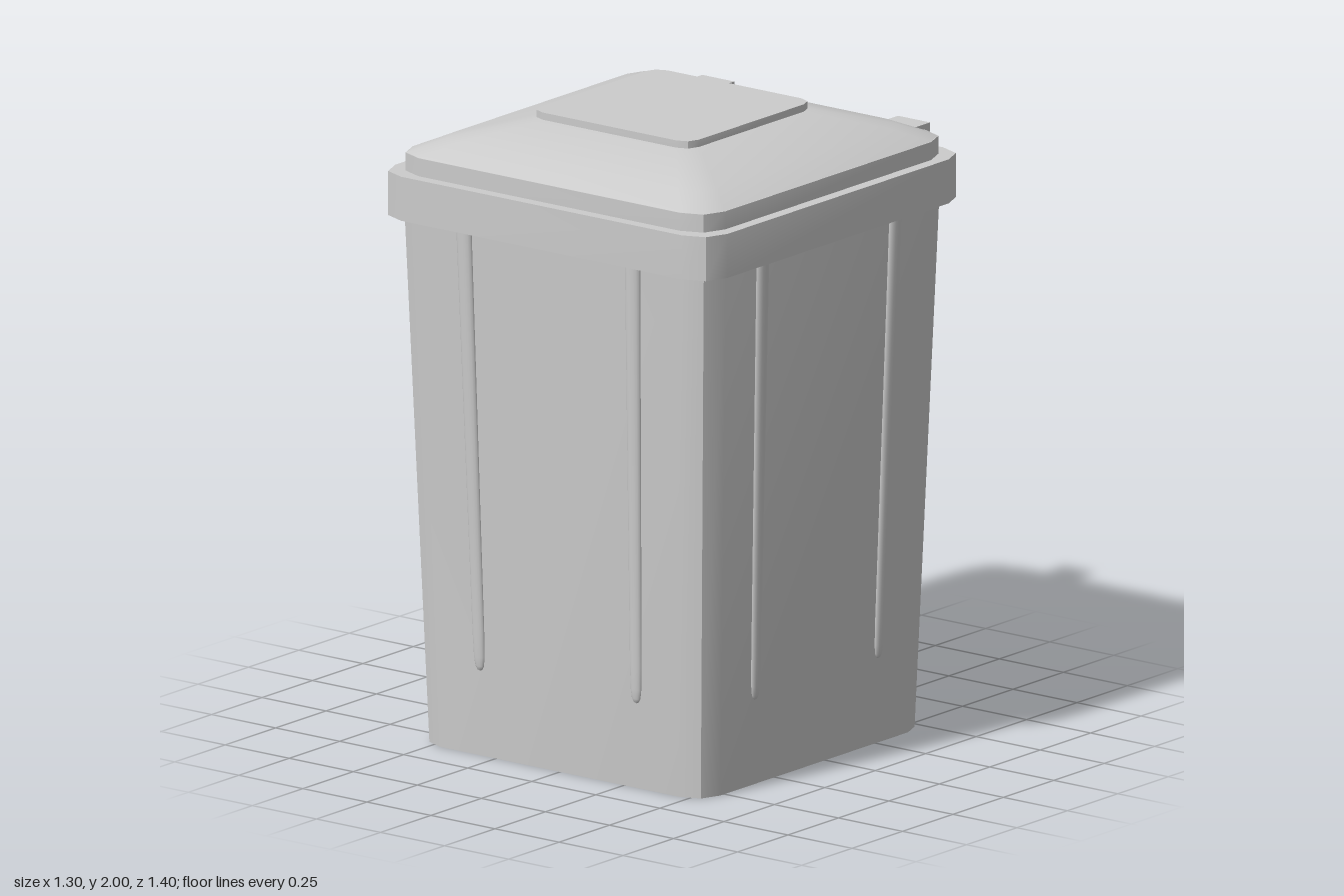
import * as THREE from 'three';
import { toCreasedNormals } from 'three/addons/utils/BufferGeometryUtils.js';

const MAT = new THREE.MeshStandardMaterial({ color: 0xcccccc });
const CENTRE_Z = 0.055;

// Closed solid through square sections with bevelled corners: [y, half width, corner size]
function loft(sections, crease) {
  const pos = [], idx = [], n = 12;
  for (const [y, h, r] of sections) {
    for (let k = 0; k < 4; k++) {
      for (let [x, z] of [[h, h - r], [h - 0.28 * r, h - 0.28 * r], [h - r, h]]) {
        for (let t = 0; t < k; t++) [x, z] = [-z, x];
        pos.push(x, y, z);
      }
    }
  }
  const last = sections.length - 1;
  for (let s = 0; s < last; s++) {
    for (let i = 0; i < n; i++) {
      const a = s * n + i, b = s * n + (i + 1) % n;
      idx.push(a, a + n, b, b, a + n, b + n);
    }
  }
  const bottom = pos.length / 3, top = bottom + 1;
  pos.push(0, sections[0][0], 0, 0, sections[last][0], 0);
  for (let i = 0; i < n; i++) {
    const j = (i + 1) % n;
    idx.push(bottom, i, j, top, last * n + j, last * n + i);
  }
  const g = new THREE.BufferGeometry();
  g.setAttribute('position', new THREE.Float32BufferAttribute(pos, 3));
  g.setIndex(idx);
  return toCreasedNormals(g, crease);
}

function add(parent, name, geometry) {
  const mesh = new THREE.Mesh(geometry, MAT);
  mesh.name = name;
  parent.add(mesh);
  return mesh;
}

// Tapered rib with a rounded lower end, flattened against the wall
function ribGeometry() {
  const profile = [[0, 0], [0.009, 0.004], [0.016, 0.016], [0.02, 0.045], [0.022, 0.12], [0.029, 1.42]];
  const g = new THREE.LatheGeometry(profile.map(([x, y]) => new THREE.Vector2(x, y)), 16);
  return g.scale(1, 1, 0.55);
}

// Bent strip, drawn in z (outwards) and y, then given its width along x
function clipGeometry(width) {
  const outer = [[0.65, 1.85], [0.672, 1.832], [0.692, 1.808], [0.698, 1.788], [0.69, 1.765], [0.665, 1.742], [0.585, 1.708]];
  const inner = [[0.585, 1.721], [0.658, 1.752], [0.679, 1.771], [0.685, 1.788], [0.68, 1.803], [0.662, 1.823], [0.64, 1.842]];
  const shape = new THREE.Shape([...outer, ...inner].map(([x, y]) => new THREE.Vector2(x, y)));
  const g = new THREE.ExtrudeGeometry(shape, { depth: width, bevelEnabled: false });
  g.translate(0, 0, -width / 2).rotateY(Math.PI / 2);
  return toCreasedNormals(g, 0.8);
}

export function createModel() {
  const model = new THREE.Group();
  model.name = 'wasteBin';

  const bin = new THREE.Group();
  bin.name = 'bin';
  bin.position.z = CENTRE_Z;
  model.add(bin);

  // Tapered container, rim and lid
  add(bin, 'body', loft([[0, 0.555, 0.09], [1.69, 0.612, 0.1]], 0.55));
  add(bin, 'rim', loft([[1.68, 0.648, 0.1], [1.82, 0.648, 0.1]], 0.55));
  add(bin, 'lidEdge', loft([[1.81, 0.61, 0.1], [1.877, 0.61, 0.1]], 0.55));
  add(bin, 'lidDome', loft([[1.876, 0.61, 0.1], [1.92, 0.515, 0.085], [1.977, 0.31, 0.05]], 0.85));
  add(bin, 'lidPanel', loft([[1.97, 0.31, 0.05], [2, 0.31, 0.05]], 0.55));

  // Two ribs on each of the four walls
  const rib = ribGeometry();
  const up = new THREE.Vector3(0, 1, 0);
  for (let side = 0; side < 4; side++) {
    const wall = new THREE.Group();
    wall.name = 'wallRibs';
    wall.rotation.y = side * Math.PI / 2;
    bin.add(wall);
    for (const s of [-1, 1]) {
      const mesh = add(wall, 'rib', rib);
      mesh.position.set(s * 0.305, 0.272, 0.564);
      mesh.quaternion.setFromUnitVectors(up, new THREE.Vector3(s * 0.024, 1.4, 0.047).normalize());
    }
  }

  // Hinges at the back: a tab on the lid and a bent clip down to the rim
  for (const s of [-1, 1]) {
    const hinge = new THREE.Group();
    hinge.name = s > 0 ? 'leftHinge' : 'rightHinge';
    hinge.position.x = s * 0.382;
    model.add(hinge);
    add(hinge, 'hingeTab', new THREE.BoxGeometry(0.125, 0.028, 0.12)).position.set(0, 1.853, -0.6);
    add(hinge, 'hingeClip', clipGeometry(0.1));
  }
  return model;
}
